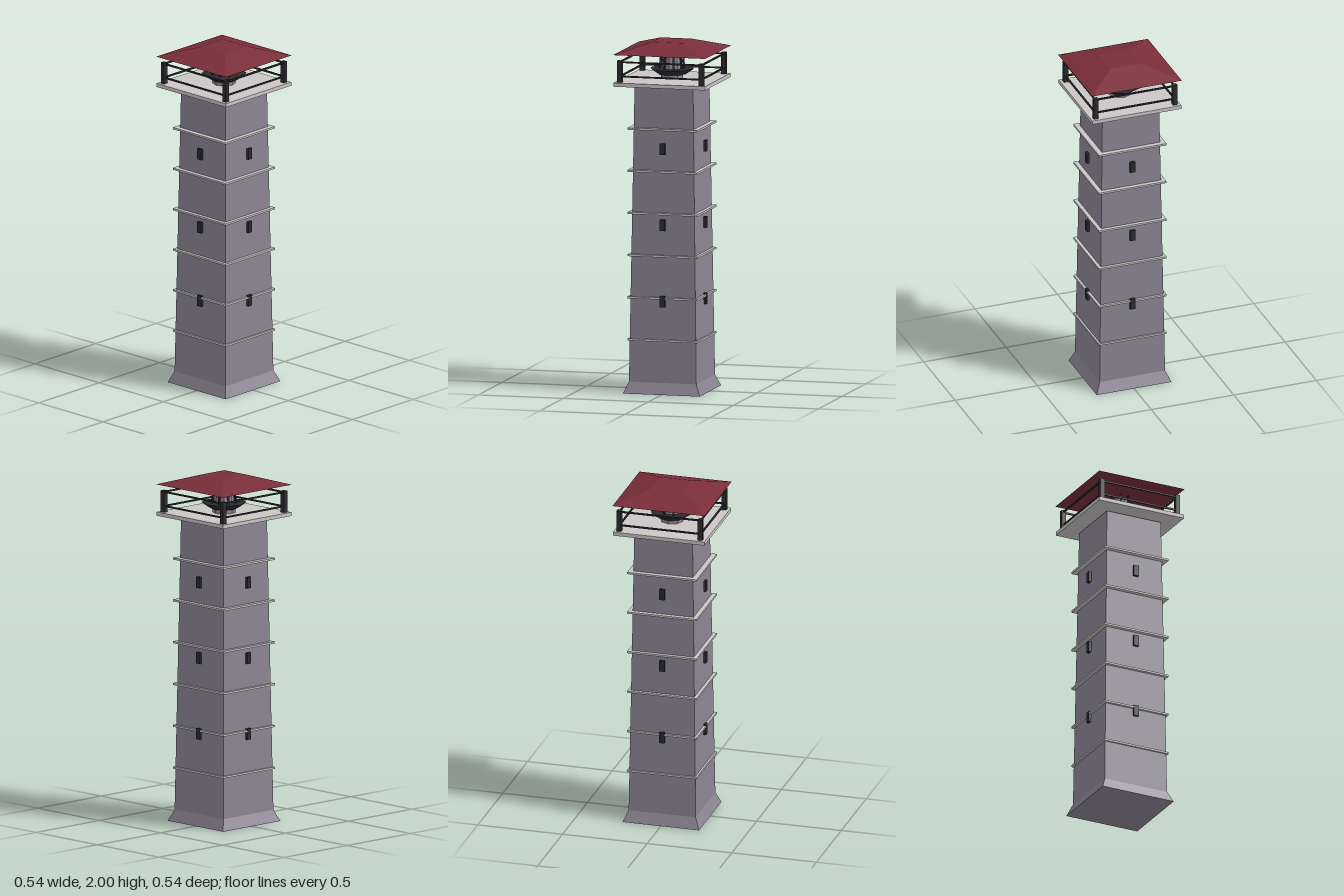
import * as THREE from 'three';

const material = (name, color) => {
  const m = new THREE.MeshStandardMaterial({ color, flatShading: true });
  m.name = name;
  return m;
};

export function createModel() {
  const stone = material('stone', 0x8b8593);
  const trim = material('pale trim', 0xc9c6c5);
  const iron = material('dark iron', 0x2b2b30);
  const tile = material('red roof', 0x7a2e38);

  const tower = new THREE.Group();
  tower.name = 'watchtower';

  const add = (name, geometry, mat, x = 0, y = 0, z = 0, parent = tower) => {
    const mesh = new THREE.Mesh(geometry, mat);
    mesh.name = name;
    mesh.position.set(x, y, z);
    parent.add(mesh);
    return mesh;
  };
  const box = (w, h, d) => new THREE.BoxGeometry(w, h, d);

  // Square tapered block given by its half widths and its bottom and top heights
  const frustum = (name, bottom, top, y0, y1, mat) => {
    const g = new THREE.CylinderGeometry(top * Math.SQRT2, bottom * Math.SQRT2, y1 - y0, 4);
    g.rotateY(Math.PI / 4);
    return add(name, g, mat, 0, (y0 + y1) / 2, 0);
  };

  // Masonry
  frustum('baseSkirt', 0.226, 0.198, 0, 0.065, stone);
  frustum('shaft', 0.198, 0.172, 0.065, 1.755, stone);

  // String courses
  for (let i = 0; i < 6; i++) {
    add('stringCourse', box(0.41, 0.011, 0.41), trim, 0, 0.307 + i * 0.2415, 0);
  }

  // Gallery floor and the neck beneath the brazier
  add('galleryFloor', box(0.54, 0.022, 0.54), trim, 0, 1.773, 0);
  add('neck', new THREE.CylinderGeometry(0.066, 0.066, 0.065, 8), stone, 0, 1.785, 0);

  // Windows, corner post and railings, repeated on the four sides
  for (let side = 0; side < 4; side++) {
    const face = new THREE.Group();
    face.name = 'towerSide';
    face.rotation.y = side * Math.PI / 2;
    tower.add(face);
    for (const y of [0.53, 0.968, 1.405]) {
      add('window', box(0.03, 0.064, 0.015), iron, 0, y, 0.198, face);
    }
    add('cornerPost', box(0.027, 0.125, 0.027), iron, 0.24, 1.846, 0.24, face);
    for (const y of [1.818, 1.9]) {
      add('rail', box(0.48, 0.009, 0.009), iron, 0, y, 0.24, face);
    }
  }

  // Brazier: flared bowl, core and leaning bars
  add('brazierBowl', new THREE.CylinderGeometry(0.128, 0.08, 0.033, 8), iron, 0, 1.825, 0);
  add('brazierCore', new THREE.CylinderGeometry(0.056, 0.064, 0.08, 8), stone, 0, 1.88, 0);
  for (let i = 0; i < 8; i++) {
    const pivot = new THREE.Group();
    pivot.name = 'brazierBar';
    pivot.rotation.y = (i + 0.5) * Math.PI / 4;
    tower.add(pivot);
    const bar = add('bar', box(0.01, 0.1, 0.01), iron, 0.066, 1.885, 0, pivot);
    bar.rotation.z = 0.1;
  }

  // Hipped roof with a flat top
  frustum('roof', 0.272, 0.092, 1.943, 2, tile);

  return tower;
}
